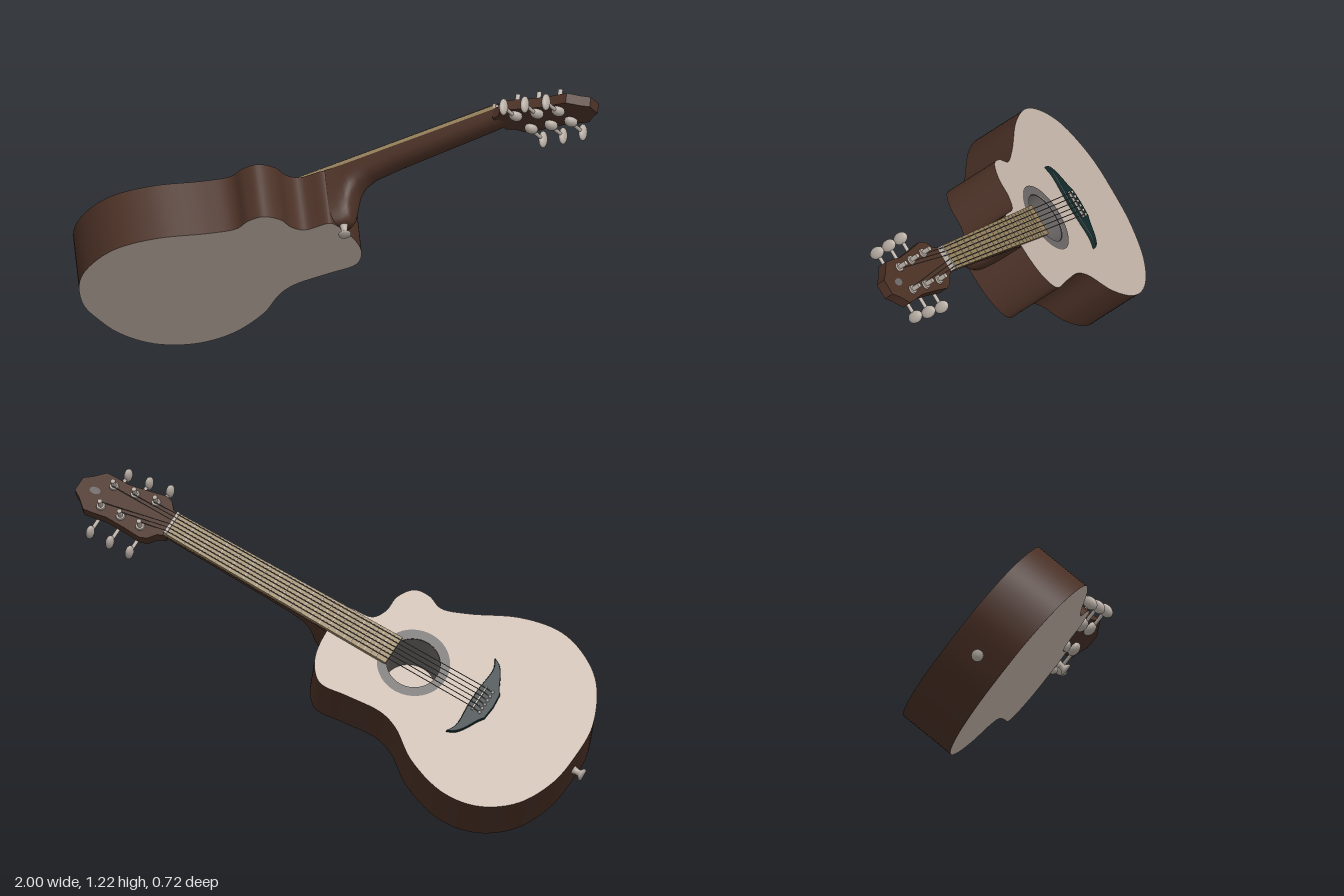
import * as THREE from 'three';

const mat = (name, color, side = THREE.FrontSide) => {
  const m = new THREE.MeshStandardMaterial({ color, side });
  m.name = name;
  return m;
};

export function createModel() {
  const spruce = mat('pale wood', 0xc6b6aa);
  const brown = mat('dark brown wood', 0x4a3025, THREE.DoubleSide);
  const tan = mat('fretboard tan', 0x96825e);
  const teal = mat('dark teal', 0x12292b);
  const grey = mat('rosette grey', 0x6b6666, THREE.DoubleSide);
  const metal = mat('warm metal', 0xb8aea5);
  const wire = mat('string grey', 0x5c5852);

  // Local frame: X runs along the neck, Z rises out of the soundboard, origin at the soundhole
  const guitar = new THREE.Group();
  guitar.name = 'guitar';
  const add = (name, geo, material, parent = guitar, x = 0, y = 0, z = 0) => {
    const mesh = new THREE.Mesh(geo, material);
    mesh.name = name;
    mesh.position.set(x, y, z);
    parent.add(mesh);
    return mesh;
  };
  const poly = pts => new THREE.Shape(pts.map(p => new THREE.Vector2(p[0], p[1])));
  const upright = (r1, r2, h, n = 20) => new THREE.CylinderGeometry(r1, r2, h, n).rotateX(Math.PI / 2);

  // Skin stretched over a list of equally long cross-sections
  const loft = (sections, closed) => {
    const n = sections[0].length, idx = [];
    for (let i = 0; i < sections.length - 1; i++)
      for (let j = 0; j < (closed ? n : n - 1); j++) {
        const k = (j + 1) % n, a = i * n + j, b = i * n + k;
        idx.push(a, b, a + n, b, b + n, a + n);
      }
    const g = new THREE.BufferGeometry();
    g.setAttribute('position', new THREE.Float32BufferAttribute(sections.flat(2), 3));
    g.setIndex(idx);
    g.computeVertexNormals();
    return g;
  };

  // Body outline with a cutaway on one shoulder
  const depth = 0.227, holeR = 0.1;
  const outline = new THREE.CatmullRomCurve3([
    [-0.70, 0], [-0.69, -0.14], [-0.612, -0.297], [-0.507, -0.375], [-0.39, -0.406],
    [-0.24, -0.375], [-0.064, -0.282], [0.03, -0.248], [0.09, -0.268], [0.15, -0.26],
    [0.19, -0.2], [0.195, -0.13], [0.225, -0.08], [0.315, -0.066], [0.33, -0.05],
    [0.333, 0.12], [0.305, 0.205], [0.25, 0.257], [0.137, 0.248], [0, 0.238],
    [-0.077, 0.262], [-0.195, 0.345], [-0.36, 0.396], [-0.50, 0.374], [-0.618, 0.283], [-0.685, 0.14],
  ].map(p => new THREE.Vector3(p[0], p[1], 0)), true, 'centripetal').getPoints(160).slice(0, -1);
  const edge = outline.map(p => [p.x, p.y]);
  const top = poly(edge);
  top.holes.push(new THREE.Path().absarc(0, 0, holeR, 0, Math.PI * 2, true));
  add('soundboard', new THREE.ShapeGeometry(top, 48), spruce);
  add('backPlate', new THREE.ShapeGeometry(poly(edge.map(p => [p[0], -p[1]]))).rotateX(Math.PI), spruce, guitar, 0, 0, -depth);
  add('bodySides', loft([-depth, 0].map(z => edge.map(p => [p[0], p[1], z])), true), brown);

  // Soundhole
  add('soundholeRing', new THREE.RingGeometry(holeR, 0.136, 48), grey, guitar, 0, 0, 0.003);
  add('soundholeWall', new THREE.CylinderGeometry(holeR, holeR, depth - 0.004, 48, 1, true).rotateX(Math.PI / 2), grey, guitar, 0, 0, -depth / 2);
  add('soundholeFloor', new THREE.CircleGeometry(holeR, 48), spruce, guitar, 0, 0, -depth + 0.003);

  // Neck and heel: rounded U sections of changing depth
  const nutX = 1.04;
  const neckSections = [
    [0.325, 0.066, 0.226, 0.45], [0.36, 0.062, 0.226, 0.6], [0.385, 0.06, 0.215, 0.8], [0.397, 0.06, 0.17, 0.8],
    [0.412, 0.06, 0.12, 0.8], [0.44, 0.059, 0.085, 0.8], [0.49, 0.058, 0.066, 0.8],
    [0.6, 0.057, 0.058, 0.8], [0.98, 0.051, 0.048, 0.8], [nutX + 0.02, 0.05, 0.044, 0.8],
  ].map(([x, w, d, e]) => Array.from({ length: 19 }, (_, i) => {
    const t = Math.PI * i / 18, c = Math.cos(t);
    return [x, w * Math.sign(c) * Math.abs(c) ** e, -d * Math.max(Math.sin(t), 0) ** e];
  }));
  add('neckAndHeel', loft(neckSections, false), brown);
  const heelEnd = neckSections[2].map(p => [p[1], p[2]]);
  add('heelCap', new THREE.ShapeGeometry(poly(heelEnd)).applyMatrix4(
    new THREE.Matrix4().makeBasis(new THREE.Vector3(0, 1, 0), new THREE.Vector3(0, 0, 1), new THREE.Vector3(1, 0, 0))), brown, guitar, 0.384);

  // Fretboard, frets and nut
  const boardTop = 0.016, startX = 0.085;
  const halfWidth = x => THREE.MathUtils.mapLinear(x, startX, nutX, 0.062, 0.05);
  add('fretboard', new THREE.ExtrudeGeometry(poly([[startX, -0.062], [nutX, -0.05], [nutX, 0.05], [startX, 0.062]]),
    { depth: boardTop, bevelEnabled: false }), tan);
  const scale = nutX + 0.29;
  for (let i = 1; i <= 20; i++) {
    const x = nutX - scale * (1 - 2 ** (-i / 12));
    add('fret', new THREE.BoxGeometry(0.003, halfWidth(x) * 2, 0.002), metal, guitar, x, 0, boardTop);
  }
  add('nut', new THREE.BoxGeometry(0.012, 0.1, 0.024), metal, guitar, nutX + 0.004, 0, 0.01);

  // Bridge with saddle and pins
  const bridge = new THREE.Shape();
  bridge.moveTo(-0.25, 0.172);
  bridge.bezierCurveTo(-0.285, 0.13, -0.26, 0.09, -0.262, 0);
  bridge.bezierCurveTo(-0.26, -0.09, -0.285, -0.13, -0.25, -0.172);
  bridge.bezierCurveTo(-0.3, -0.15, -0.305, -0.09, -0.335, -0.055);
  bridge.lineTo(-0.34, 0);
  bridge.lineTo(-0.335, 0.055);
  bridge.bezierCurveTo(-0.305, 0.09, -0.3, 0.15, -0.25, 0.172);
  add('bridge', new THREE.ExtrudeGeometry(bridge, {
    depth: 0.012, bevelThickness: 0.004, bevelSize: 0.004, bevelSegments: 2, curveSegments: 10 }), teal);
  add('saddle', new THREE.BoxGeometry(0.007, 0.11, 0.012), metal, guitar, -0.282, 0, 0.018);

  // Headstock tilts back from the nut
  const head = new THREE.Group();
  head.name = 'headstock';
  head.position.set(nutX, 0, 0);
  head.rotation.y = THREE.MathUtils.degToRad(13);
  guitar.add(head);
  const side = [[0, 0.05], [0.03, 0.06], [0.055, 0.09], [0.085, 0.1], [0.15, 0.09], [0.24, 0.08],
    [0.3, 0.086], [0.335, 0.088], [0.375, 0.05], [0.405, 0.03]];
  const headShape = poly([...side.map(p => [p[0], -p[1]]), ...side.slice().reverse()]);
  add('headPlate', new THREE.ExtrudeGeometry(headShape, { depth: 0.04, bevelEnabled: false }), brown, head, 0, 0, -0.038);
  add('ovalCover', new THREE.CircleGeometry(0.018, 24).scale(1.2, 0.8, 1), grey, head, 0.335, 0, 0.005);

  // Tuners: post, washer, gear housing, shaft and button
  const posts = [];
  for (const s of [-1, 1])
    for (let i = 0; i < 3; i++) {
      const x = 0.105 + i * 0.088, y = s * (0.058 - i * 0.005);
      posts.push([x, y, s]);
      const tuner = new THREE.Group();
      tuner.name = 'tuner';
      tuner.position.set(x, y, 0);
      head.add(tuner);
      add('washer', upright(0.016, 0.018, 0.008), metal, tuner, 0, 0, 0.005);
      add('post', upright(0.009, 0.009, 0.04), metal, tuner, 0, 0, 0.02);
      add('gearHousing', new THREE.SphereGeometry(0.024, 16, 10).scale(1, 1.2, 0.8), metal, tuner, 0, 0, -0.046);
      add('shaft', new THREE.CylinderGeometry(0.007, 0.007, 0.08, 10), metal, tuner, 0, s * 0.04, -0.05);
      add('button', new THREE.SphereGeometry(0.03, 16, 12).scale(0.45, 0.75, 1.1), metal, tuner, 0, s * 0.09, -0.05);
    }

  // Strings run from the bridge pins over the nut to the posts
  head.updateMatrix();
  const order = [0, 1, 2, 5, 4, 3];
  order.forEach((k, i) => {
    const t = (i - 2.5) / 2.5, [px, py, s] = posts[k];
    const end = new THREE.Vector3(px, py - s * 0.009, 0.018).applyMatrix4(head.matrix);
    const path = new THREE.CurvePath();
    const pts = [new THREE.Vector3(-0.31, t * 0.048, 0.016), new THREE.Vector3(-0.282, t * 0.047, 0.026),
      new THREE.Vector3(nutX + 0.004, t * 0.04, 0.023), end];
    for (let j = 0; j < 3; j++) path.add(new THREE.LineCurve3(pts[j], pts[j + 1]));
    add('string', new THREE.TubeGeometry(path, 60, 0.0018, 5), wire);
    add('bridgePin', new THREE.SphereGeometry(0.006, 10, 8), metal, guitar, -0.312, t * 0.048, 0.018);
  });

  // Strap buttons on the heel and the tail
  const knob = new THREE.LatheGeometry([[0, 0], [0.016, 0], [0.012, 0.015], [0.012, 0.025], [0.024, 0.036], [0.022, 0.043], [0, 0.045]]
    .map(p => new THREE.Vector2(p[0], p[1])), 20);
  add('heelStrapButton', knob, metal, guitar, 0.352, -0.01, -depth + 0.004).rotation.x = -Math.PI / 2;
  add('tailStrapButton', knob, metal, guitar, -0.7, 0, -0.12).rotation.z = Math.PI / 2;

  // Lean the instrument into its resting pose
  const a = THREE.MathUtils.degToRad(26), r = THREE.MathUtils.degToRad(46);
  const u = new THREE.Vector3(Math.cos(a), Math.sin(a), 0);
  const n = new THREE.Vector3(-Math.sin(a) * Math.cos(r), Math.cos(a) * Math.cos(r), -Math.sin(r));
  const pose = new THREE.Matrix4().makeBasis(u, n.clone().cross(u), n).setPosition(-0.33, 0.606, -0.085);
  guitar.applyMatrix4(pose);

  const model = new THREE.Group();
  model.name = 'acousticGuitar';
  model.add(guitar);
  return model;
}
